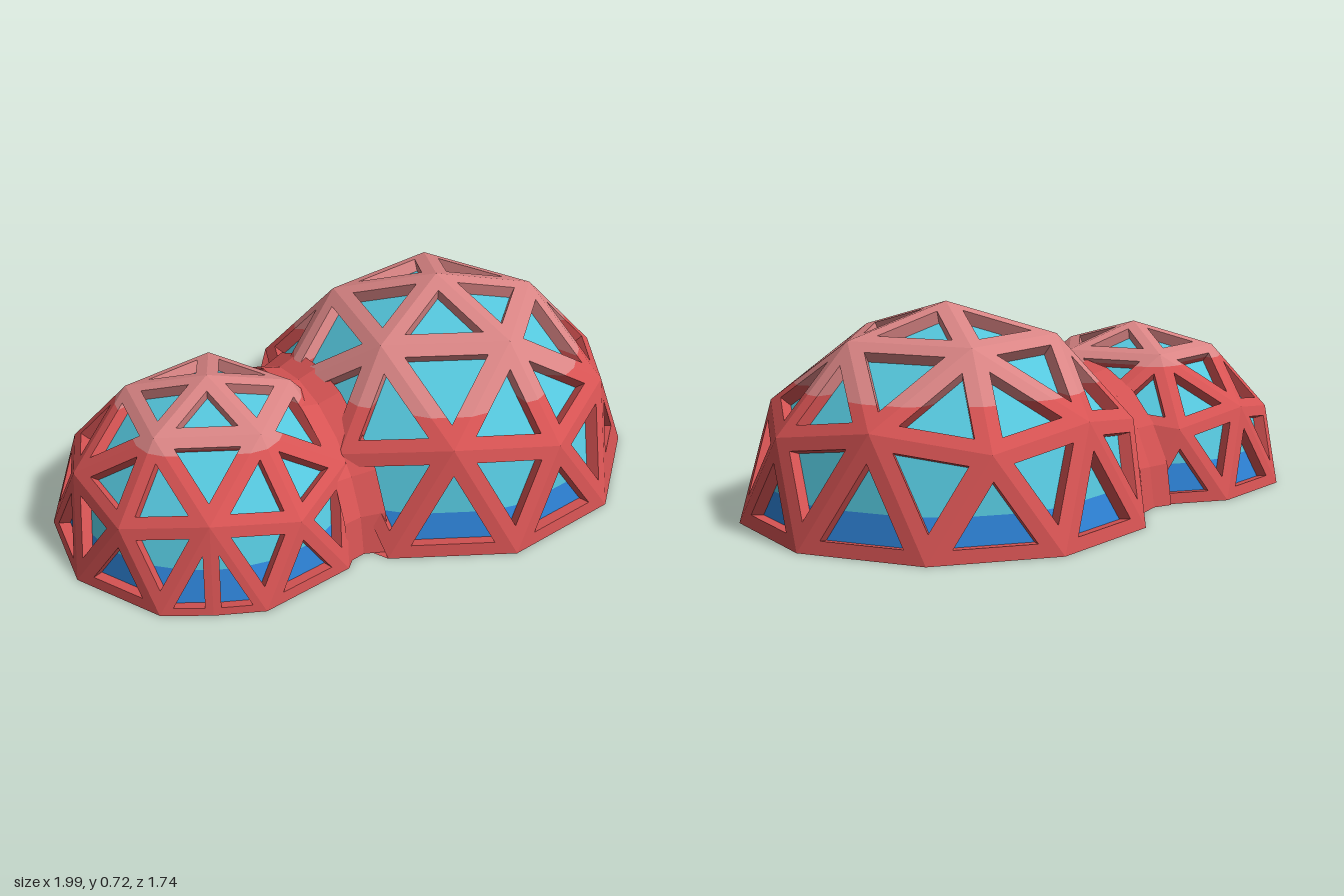
import * as THREE from 'three';

const mat = (name, color) => {
  const m = new THREE.MeshStandardMaterial({ color, side: THREE.DoubleSide });
  m.name = name;
  return m;
};

// Split a list of triangles at height h into the parts below and above it
function splitAt(tris, h) {
  const low = [], high = [];
  const clip = (tri, sign, out) => {
    const poly = [];
    tri.forEach((p, i) => {
      const q = tri[(i + 1) % 3];
      const dp = (p.y - h) * sign, dq = (q.y - h) * sign;
      if (dp >= 0) poly.push(p);
      if (dp * dq < 0) poly.push(p.clone().lerp(q, dp / (dp - dq)));
    });
    for (let i = 1; i + 1 < poly.length; i++) out.push([poly[0], poly[i], poly[i + 1]]);
  };
  for (const t of tris) {
    clip(t, -1, low);
    clip(t, 1, high);
  }
  return [low, high];
}

function trisMesh(name, tris, material) {
  const g = new THREE.BufferGeometry().setFromPoints(tris.flat());
  g.computeVertexNormals();
  const mesh = new THREE.Mesh(g, material);
  mesh.name = name;
  return mesh;
}

const BIG = { name: 'largeDome', x: 0.291, z: -0.172, ry: 0.72, r: 0.708, strut: 0.045, depth: 0.045 };
const SMALL = { name: 'smallDome', x: -0.45, z: 0.325, ry: 0.575, r: 0.556, strut: 0.038, depth: 0.04 };

// Two-frequency geodesic half sphere with a recessed pane in every triangle
function buildDome(dome, other, mats) {
  const rad = THREE.MathUtils.degToRad;
  const centre = new THREE.Vector3(dome.x, 0, dome.z);
  const otherCentre = new THREE.Vector3(other.x, 0, other.z);
  const point = (polar, az) => new THREE.Vector3(
    dome.x + dome.r * Math.sin(rad(polar)) * Math.cos(rad(az)),
    dome.ry * Math.cos(rad(polar)),
    dome.z + dome.r * Math.sin(rad(polar)) * Math.sin(rad(az)));
  const frame = [], glass = [], rim = [];

  const panel = (tri, width, sill = 0) => {
    let [a, b, c] = tri;
    const mid = a.clone().add(b).add(c).divideScalar(3);
    const n = b.clone().sub(a).cross(c.clone().sub(a)).normalize();
    if (n.dot(mid.clone().sub(centre)) < 0) {
      [b, c] = [c, b];
      n.negate();
    }
    const near = mid.distanceTo(otherCentre) / other.r;
    if (near < 0.88) return;                       // swallowed by the other dome
    if (near < 1.0) { frame.push([a, b, c]); return; }
    // Inset the window evenly from the three edges
    const la = b.distanceTo(c), lb = c.distanceTo(a), lc = a.distanceTo(b);
    const sum = la + lb + lc;
    const inc = a.clone().multiplyScalar(la).addScaledVector(b, lb).addScaledVector(c, lc).divideScalar(sum);
    const area = b.clone().sub(a).cross(c.clone().sub(a)).length() / 2;
    const t = width / (2 * area / sum);
    const outer = [a, b, c];
    const win = outer.map((p) => p.clone().lerp(inc, t));
    if (sill) {                                    // raise the lower corners to the sill
      const top = win.reduce((m, p) => (p.y > m.y ? p : m)).clone();
      win.forEach((p) => { if (p.y < sill) p.lerp(top, (sill - p.y) / (top.y - p.y)); });
    }
    const pane = win.map((p) => p.clone().addScaledVector(n, -dome.depth));
    for (let i = 0; i < 3; i++) {
      const j = (i + 1) % 3;
      frame.push([outer[i], outer[j], win[j]], [outer[i], win[j], win[i]]);
      frame.push([win[i], win[j], pane[j]], [win[i], pane[j], pane[i]]);
    }
    glass.push(pane);
  };

  const apex = point(0, 0);
  for (let k = 0; k < 5; k++) {
    const az = 46 + 72 * k;
    const B = point(31.72, az), B2 = point(31.72, az + 72);
    const C = point(63.43, az), C2 = point(63.43, az + 72);
    const D = point(58.28, az + 36);
    const E0 = point(90, az - 18), E1 = point(90, az + 18), E2 = point(90, az + 54);
    rim.push(E0, E1);
    [[apex, B, B2], [B, C, D], [B, D, B2], [B2, D, C2], [C, E0, E1], [C, E1, D], [D, E2, C2]]
      .forEach((tri) => panel(tri, dome.strut));
    if (dome === SMALL && k === 0) {               // front bay with a middle post
      const m = point(90, az + 36).lerp(centre, 0.03);
      panel([D, E1, m], 0.026);
      panel([D, m, E2], 0.026);
      rim.push(m);
    } else {
      panel([D, E1, E2], dome.strut, dome === BIG && k === 4 ? 0.13 : 0);
    }
  }

  const group = new THREE.Group();
  group.name = dome.name;
  const [lowFrame, highFrame] = splitAt(frame, 0.45);
  const [lowGlass, highGlass] = splitAt(glass, 0.13);
  // Flat underside
  const base = rim.map((p, i) => [centre, p, rim[(i + 1) % rim.length]]);
  group.add(
    trisMesh('lowerFrame', lowFrame, mats.red),
    trisMesh('upperFrame', highFrame, mats.pink),
    trisMesh('lowerPanes', lowGlass, mats.blue),
    trisMesh('upperPanes', highGlass, mats.cyan),
    trisMesh('base', base, mats.red));
  return group;
}

// Half ring that closes the valley where the two domes meet
function buildCollar(mats) {
  const profile = [[0.465, -0.07], [0.45, 0], [0.48, 0.08]].map(([r, h]) => new THREE.Vector2(r, h));
  const g = new THREE.LatheGeometry(profile, 10, 0, Math.PI).toNonIndexed();
  const axis = new THREE.Vector3(BIG.x - SMALL.x, 0, BIG.z - SMALL.z).normalize();
  const up = new THREE.Vector3(0, 1, 0);
  g.applyMatrix4(new THREE.Matrix4().makeBasis(up, axis, up.clone().cross(axis)));
  g.translate(-0.166, 0, 0.131);
  g.computeVertexNormals();
  const mesh = new THREE.Mesh(g, mats.red);
  mesh.name = 'collar';
  return mesh;
}

export function createModel() {
  const mats = {
    red: mat('red frame', 0xd65353),
    pink: mat('pale red frame', 0xd98484),
    cyan: mat('cyan glass', 0x55c6dc),
    blue: mat('blue glass', 0x2f86dc),
  };
  const model = new THREE.Group();
  model.name = 'twinDomes';
  model.add(buildDome(BIG, SMALL, mats), buildDome(SMALL, BIG, mats), buildCollar(mats));
  return model;
}
